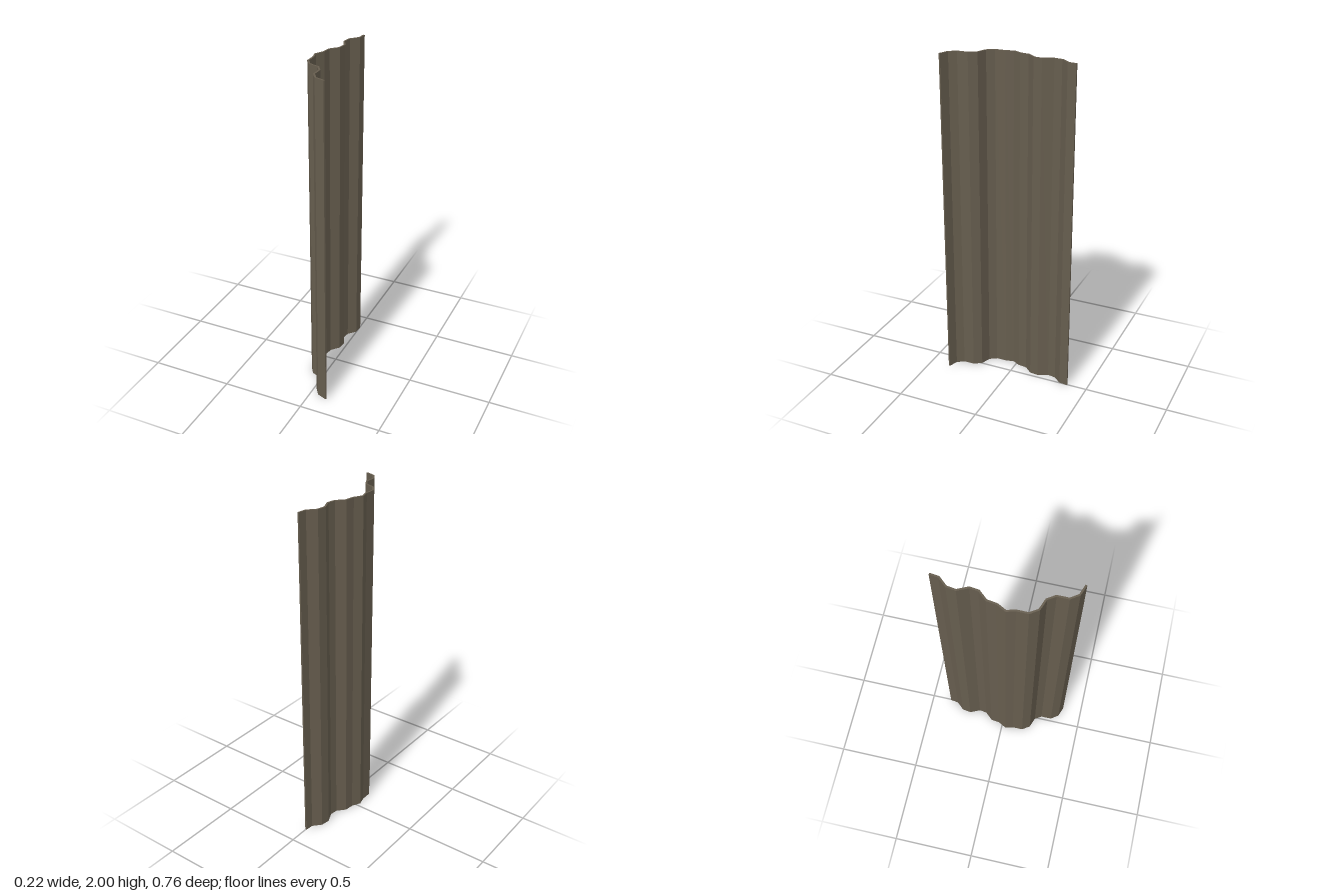
import * as THREE from 'three';

const HEIGHT = 2;
const HALF_THICKNESS = 0.005;

// Centre line of the corrugated sheet seen from above, as [x, z]
const PROFILE = [
  [0, -0.378], [-0.006, -0.328], [-0.047, -0.282], [-0.055, -0.231],
  [-0.027, -0.171], [-0.034, -0.122], [-0.075, -0.076], [-0.082, -0.023],
  [-0.108, 0.027], [-0.095, 0.074], [-0.095, 0.137], [-0.066, 0.181],
  [-0.006, 0.203], [0.022, 0.246], [0.022, 0.311], [0.052, 0.354], [0.109, 0.375],
].map(([x, z]) => new THREE.Vector2(x, -z));

// Shift the line sideways, keeping the thickness even at each bend
function offsetLine(points, distance) {
  const normal = (a, b) => {
    const d = b.clone().sub(a).normalize();
    return new THREE.Vector2(-d.y, d.x);
  };
  const last = points.length - 1;
  return points.map((p, i) => {
    const before = normal(points[Math.max(i - 1, 0)], points[Math.max(i, 1)]);
    const after = normal(points[Math.min(i, last - 1)], points[Math.min(i + 1, last)]);
    const miter = before.clone().add(after).normalize();
    return p.clone().addScaledVector(miter, distance / miter.dot(before));
  });
}

export function createModel() {
  const weatheredMetal = new THREE.MeshStandardMaterial({ color: 0x665d4e });
  weatheredMetal.name = 'weatheredMetal';

  // Folded sheet: a thin closed outline raised to full height
  const outline = [
    ...offsetLine(PROFILE, HALF_THICKNESS),
    ...offsetLine(PROFILE, -HALF_THICKNESS).reverse(),
  ];
  const geometry = new THREE.ExtrudeGeometry(new THREE.Shape(outline), {
    depth: HEIGHT, bevelEnabled: false,
  });
  geometry.rotateX(-Math.PI / 2);

  const sheet = new THREE.Mesh(geometry, weatheredMetal);
  sheet.name = 'corrugatedSheet';

  const model = new THREE.Group();
  model.name = 'corrugatedPanel';
  model.add(sheet);
  return model;
}
